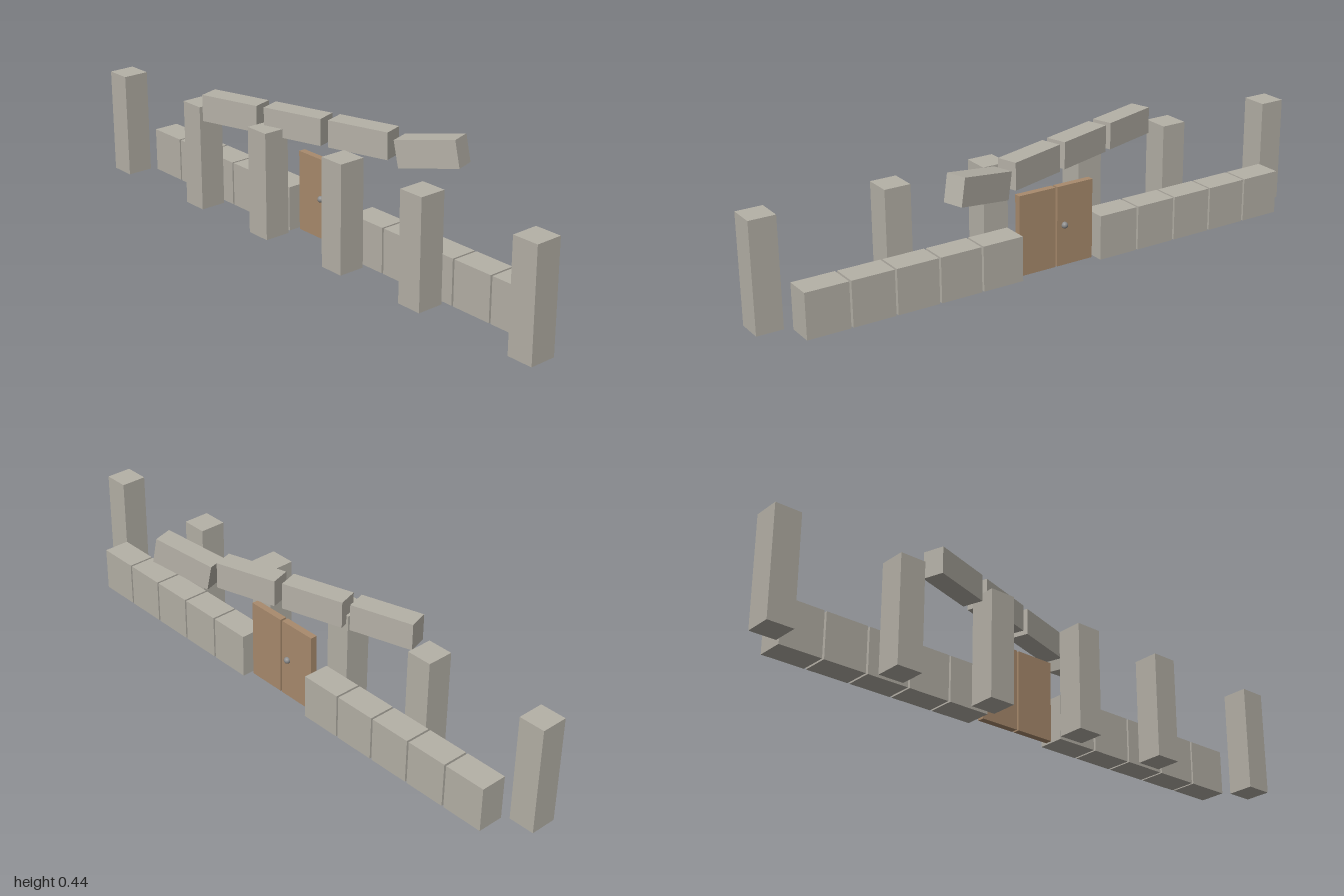
import * as THREE from 'three';

export function createModel() {
  const root = new THREE.Group();
  root.name = 'ruinedGateWall';

  const stone = new THREE.MeshStandardMaterial({ color: 0xb5b1a7 });
  stone.name = 'stone';
  const wood = new THREE.MeshStandardMaterial({ color: 0xa98b6d });
  wood.name = 'wood';
  const metal = new THREE.MeshStandardMaterial({ color: 0x8c8c8c });
  metal.name = 'metal';

  const add = (name, geometry, material, x, y, z) => {
    const mesh = new THREE.Mesh(geometry, material);
    mesh.name = name;
    mesh.position.set(x, y, z);
    root.add(mesh);
    return mesh;
  };

  // Row of free-standing pillars in front of the wall
  const pillarGeo = new THREE.BoxGeometry(0.088, 0.36, 0.09);
  for (const x of [-0.956, -0.524, -0.181, 0.177, 0.52, 0.956]) {
    add('pillar', pillarGeo, stone, x, 0.18, 0.107);
  }

  // Low wall: five blocks each side of the doorway
  const blockGeo = new THREE.BoxGeometry(0.143, 0.15, 0.09);
  for (const start of [-0.822, 0.218]) {
    for (let i = 0; i < 5; i++) {
      add('wallBlock', blockGeo, stone, start + i * 0.15, 0.075, 0.001);
    }
  }

  // Diagonal line of lintel stones, the last one tipped up
  const lintelGeo = new THREE.BoxGeometry(0.212, 0.089, 0.07);
  for (let i = 0; i < 4; i++) {
    const lintel = add('lintel', lintelGeo, stone, -0.341 + i * 0.2275, 0.375, 0.11 - i * 0.0715);
    lintel.rotation.order = 'YXZ';
    lintel.rotation.y = 0.297;
    if (i === 3) lintel.rotation.z = 0.19;
  }

  // Double door with a narrow gap between the leaves
  const leafGeo = new THREE.BoxGeometry(0.135, 0.27, 0.023);
  for (const x of [-0.0725, 0.0695]) add('doorLeaf', leafGeo, wood, x, 0.135, 0.001);

  // Door knobs on both faces
  const knobGeo = new THREE.SphereGeometry(0.011, 16, 12);
  for (const z of [-0.013, 0.015]) add('doorKnob', knobGeo, metal, -0.032, 0.137, z);

  return root;
}
